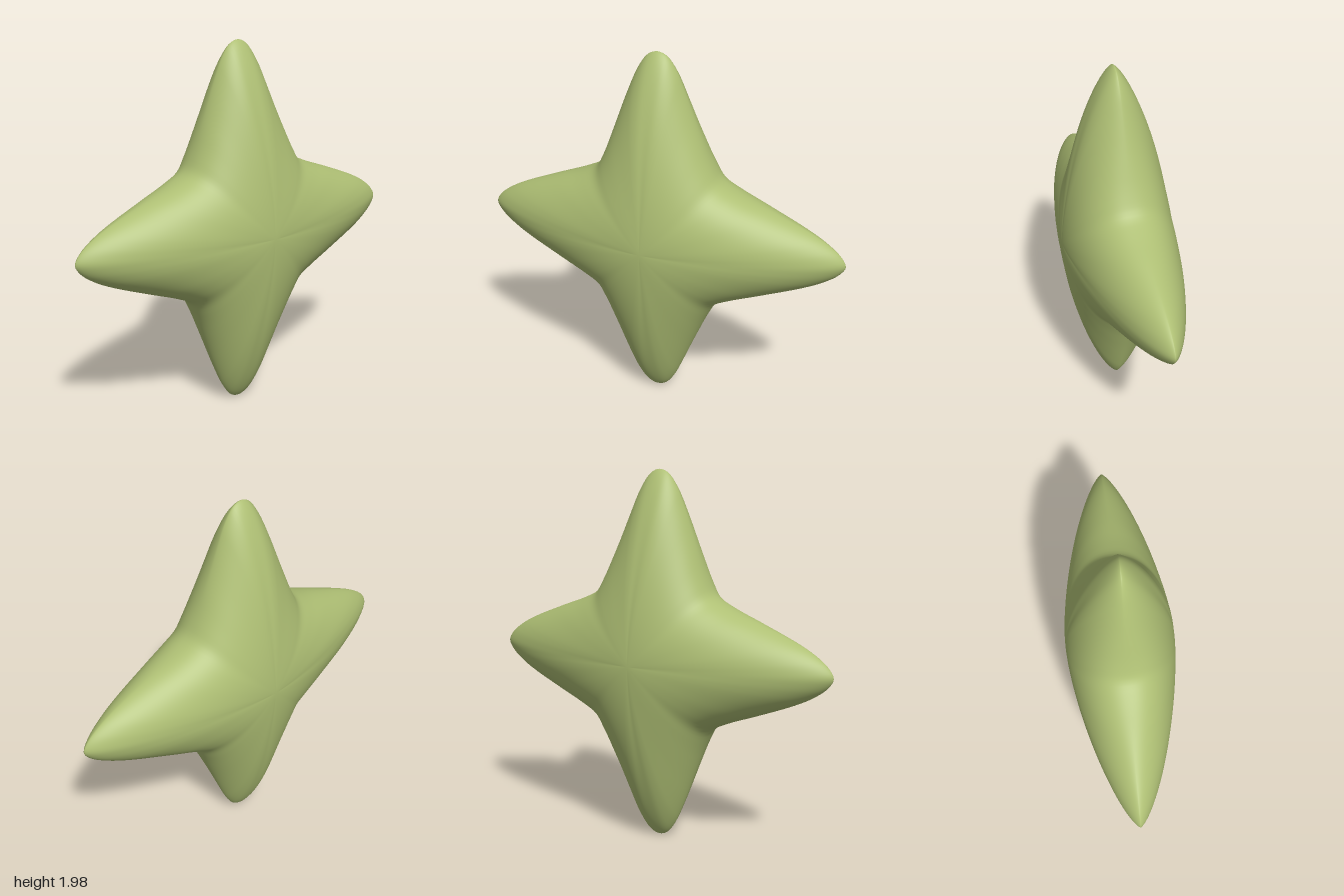
import * as THREE from 'three';

// Outline of one quadrant as [z, y], from the front tip to just before the top tip
const QUADRANT = [
  [1, 0], [0.972, 0.05], [0.9, 0.106], [0.8, 0.158], [0.6, 0.238], [0.43, 0.302],
  [0.342, 0.35], [0.295, 0.43], [0.226, 0.6], [0.148, 0.8], [0.1, 0.905], [0.05, 0.97],
];
const TIP = [0, 0.988];
const HALF_THICKNESS = 0.29;

// Mirrors the quadrant into a smooth closed four-pointed outline
function starOutline(count) {
  const upper = [...QUADRANT, TIP, ...QUADRANT.slice(1).reverse().map(([z, y]) => [-z, y])];
  const lower = upper.map(([z, y]) => [-z, -y]);
  const points = [...upper, ...lower].map(([z, y]) => new THREE.Vector3(0, y, z));
  const curve = new THREE.CatmullRomCurve3(points, true, 'centripetal');
  return Array.from({ length: count }, (_, i) => curve.getPoint(i / count));
}

// Domed thickness: tapering along the arms, fuller towards the notches
function thickness(angle, s) {
  const notch = Math.min(1, Math.sqrt(Math.sin(2 * angle) ** 2 + 0.005));
  const dome = Math.max(0, 1 - Math.pow(s, 1.5 + 0.5 * notch));
  return HALF_THICKNESS * Math.pow(dome, 0.75 - 0.3 * notch);
}

// Rings shrink from the rim towards an apex on each side
function starGeometry(around = 192, rings = 63) {
  const outline = starOutline(around);
  const positions = [HALF_THICKNESS, 0, 0];
  const index = [];
  for (let i = 1; i <= rings; i++) {
    const t = (i / (rings + 1)) * Math.PI;
    const s = Math.sin(t);
    const side = i * 2 === rings + 1 ? 0 : Math.sign(Math.cos(t));
    for (const p of outline) {
      const y = p.y * s;
      const lean = 0.018 * THREE.MathUtils.smoothstep(Math.abs(y), 0.1, 0.8);
      positions.push(side * thickness(Math.atan2(p.y, p.z), s), y, p.z * s + lean);
    }
  }
  positions.push(-HALF_THICKNESS, 0, 0);

  const at = (ring, j) => 1 + ring * around + (j % around);
  const last = 1 + rings * around;
  for (let j = 0; j < around; j++) {
    index.push(0, at(0, j + 1), at(0, j));
    for (let i = 0; i < rings - 1; i++) {
      const a = at(i, j), b = at(i, j + 1), c = at(i + 1, j), d = at(i + 1, j + 1);
      index.push(a, b, c, b, d, c);
    }
    index.push(last, at(rings - 1, j), at(rings - 1, j + 1));
  }

  const geometry = new THREE.BufferGeometry();
  geometry.setAttribute('position', new THREE.Float32BufferAttribute(positions, 3));
  geometry.setIndex(index);
  geometry.computeVertexNormals();
  return geometry;
}

export function createModel() {
  const group = new THREE.Group();
  group.name = 'fourPointedStar';
  const green = new THREE.MeshStandardMaterial({ color: 0xaebf74 });
  green.name = 'soft green';
  const body = new THREE.Mesh(starGeometry(), green);
  body.name = 'starBody';
  body.position.y = 0.998;
  group.add(body);
  return group;
}
